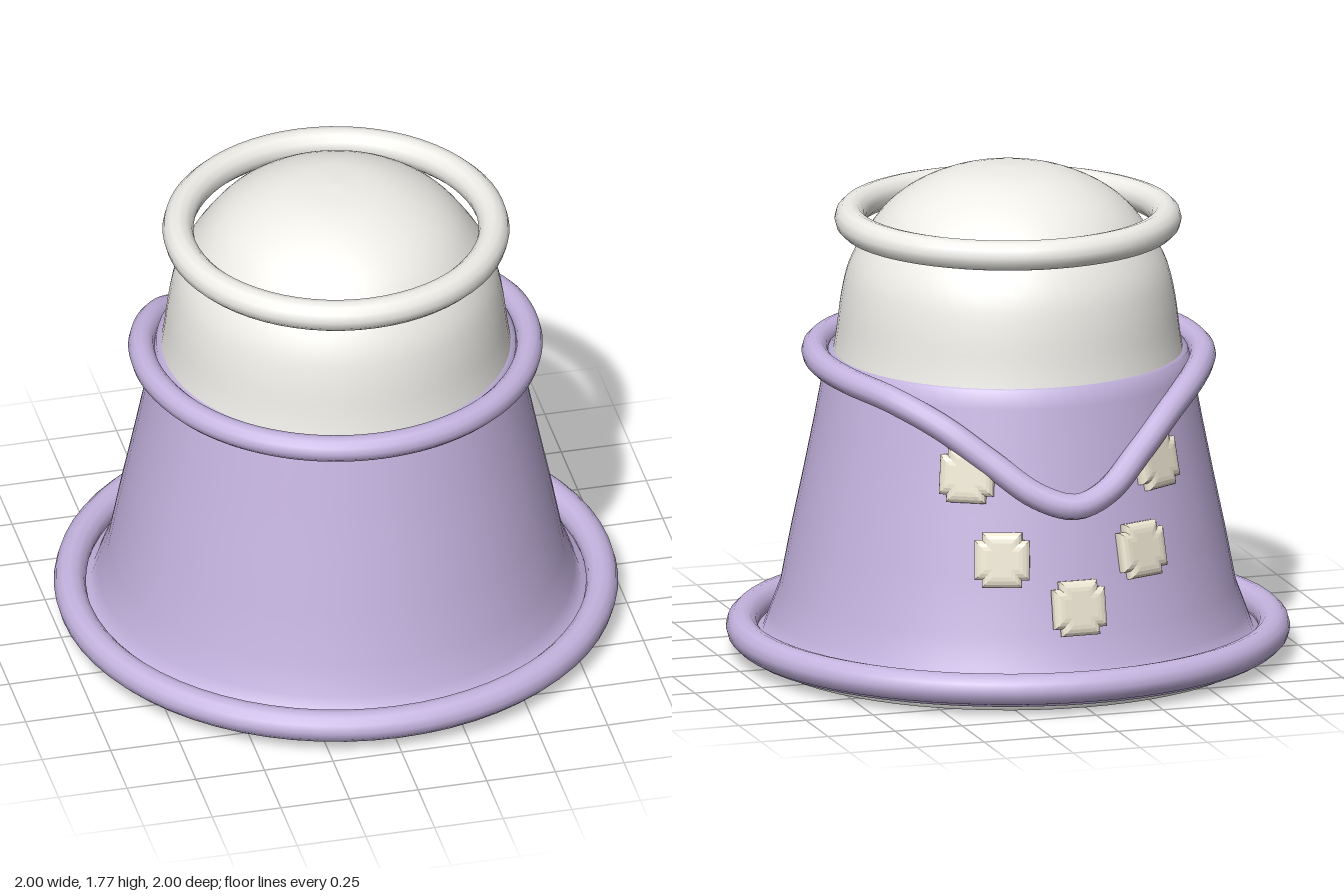
import * as THREE from 'three';

const material = (color, side = THREE.FrontSide) => new THREE.MeshStandardMaterial({ color, side });
const lilac = material(0xc5b4e0);
const lilacThin = material(0xc5b4e0, THREE.DoubleSide);
const white = material(0xeeede8);
const whiteThin = material(0xeeede8, THREE.DoubleSide);
const cream = material(0xe9e2cf);

const v2 = (pairs) => pairs.map(([r, y]) => new THREE.Vector2(r, y));

function addMesh(parent, name, geometry, mat) {
  const mesh = new THREE.Mesh(geometry, mat);
  mesh.name = name;
  parent.add(mesh);
  return mesh;
}

function addRing(parent, name, radius, tube, y, mat) {
  const geometry = new THREE.TorusGeometry(radius, tube, 12, 64);
  geometry.rotateX(Math.PI / 2);
  addMesh(parent, name, geometry, mat).position.y = y;
}

// Collar path: level at the front, dipping to a point at the back
function collarCurve() {
  const side = [];
  for (let i = 1; i <= 5; i++) {
    const a = (i * Math.PI) / 12;
    side.push([0.685 * Math.sin(a), 1.098, 0.685 * Math.cos(a)]);
  }
  side.push(
    [0.687, 1.092, 0], [0.66, 1.082, -0.2], [0.56, 1.05, -0.4],
    [0.42, 0.97, -0.545], [0.28, 0.86, -0.645], [0.13, 0.745, -0.735]
  );
  const mirrored = side.map(([x, y, z]) => [-x, y, z]).reverse();
  const points = [[0, 1.098, 0.685], ...side, [0, 0.705, -0.768], ...mirrored];
  return new THREE.CatmullRomCurve3(points.map((p) => new THREE.Vector3(...p)), true);
}

// Cushion-like stud with a notched, cross-shaped outline
function studGeometry() {
  const a = 0.06, b = 0.033;
  const shape = new THREE.Shape(v2([
    [b, -a], [b, -b], [a, -b], [a, b], [b, b], [b, a],
    [-b, a], [-b, b], [-a, b], [-a, -b], [-b, -b], [-b, -a],
  ]));
  const geometry = new THREE.ExtrudeGeometry(shape, {
    depth: 0.015, bevelThickness: 0.022, bevelSize: 0.038, bevelSegments: 4, curveSegments: 1,
  });
  return geometry.translate(0, 0, -0.0075);
}

export function createModel() {
  const model = new THREE.Group();
  model.name = 'capsule';

  // Hollow domed shell, open at the bottom
  const dome = new THREE.SplineCurve(v2([
    [0.64, 1.0], [0.612, 1.15], [0.592, 1.3], [0.562, 1.42], [0.5, 1.53],
    [0.42, 1.63], [0.31, 1.705], [0.17, 1.755], [0, 1.77],
  ])).getPoints(28);
  dome[dome.length - 1].x = 0;
  const shell = [...v2([[0.88, 0], [0.875, 0.04], [0.835, 0.15], [0.79, 0.26]]), ...dome];
  addMesh(model, 'domedShell', new THREE.LatheGeometry(shell, 64), whiteThin);
  addMesh(model, 'shellRim', new THREE.LatheGeometry(
    v2([[0.855, 0.05], [0.86, 0], [0.88, 0], [0.88, 0.03]]), 64), whiteThin);

  // Tapered sleeve with a flared foot and flange
  const sleeve = v2([
    [0.875, 0.025], [0.95, 0.03], [0.95, 0.06], [0.87, 0.08], [0.845, 0.15], [0.808, 0.25],
    [0.77, 0.45], [0.728, 0.65], [0.688, 0.85], [0.653, 1.04], [0.638, 1.105], [0.61, 1.108],
  ]);
  addMesh(model, 'sleeve', new THREE.LatheGeometry(sleeve, 64), lilacThin);

  // Rings and collar
  addRing(model, 'baseRing', 0.943, 0.057, 0.092, lilac);
  addRing(model, 'topRing', 0.56, 0.055, 1.58, white);
  addMesh(model, 'collar', new THREE.TubeGeometry(collarCurve(), 160, 0.047, 12, true), lilac);

  // Studs in a V on the back, tilted to lie on the sleeve
  const stud = studGeometry();
  const studs = [[0, 0.345, 0.805], [1, 0.52, 0.768], [2, 0.81, 0.703]];
  const angles = [0, 0.345, 0.525];
  studs.forEach(([row, y, radius]) => {
    for (const side of row === 0 ? [1] : [1, -1]) {
      const angle = Math.PI - side * angles[row];
      const mesh = addMesh(model, 'stud', stud, cream);
      mesh.position.set(radius * Math.sin(angle), y, radius * Math.cos(angle));
      mesh.rotation.set(-0.2, angle, 0, 'YXZ');
    }
  });

  return model;
}
